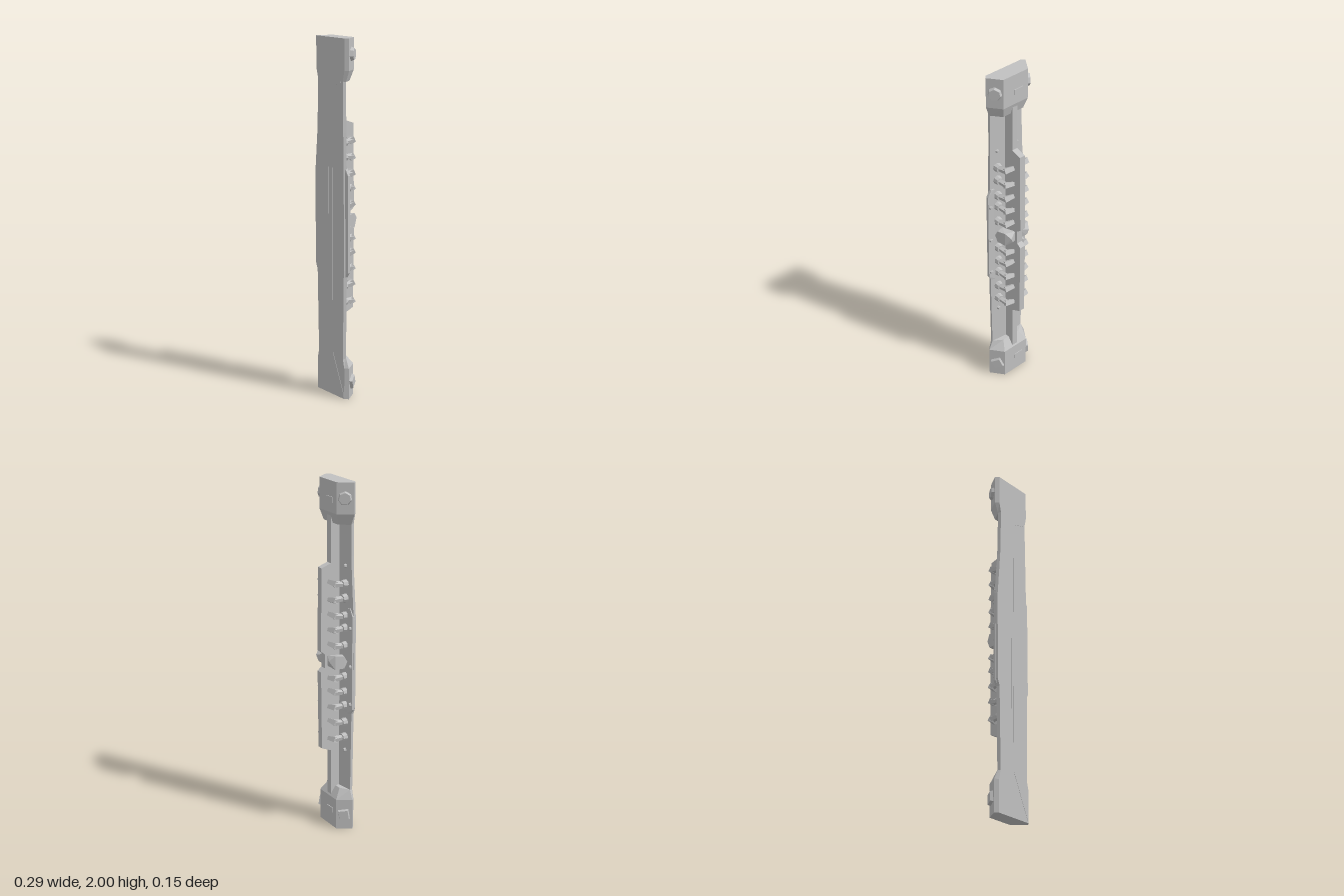
import * as THREE from 'three';
import { ConvexGeometry } from 'three/addons/geometries/ConvexGeometry.js';

const stone = new THREE.MeshStandardMaterial({ color: 0xc0c0c0, flatShading: true });
stone.name = 'stone grey';

function add(parent, name, geometry, x = 0, y = 0, z = 0) {
  const mesh = new THREE.Mesh(geometry, stone);
  mesh.name = name;
  mesh.position.set(x, y, z);
  parent.add(mesh);
  return mesh;
}

// Six-sided cross-sections stacked along y.
// Each level: y, extent to -x, extent to +x, front bevel, half width of back, z of back
function loft(levels) {
  const rings = levels.map(([y, l, r, bevel, half, back]) => [
    [bevel - l, y, 0.075], [r - bevel, y, 0.075], [r, y, 0.057],
    [half, y, back], [-half, y, back], [-l, y, 0.057],
  ]);
  const pos = [];
  const tri = (a, b, c) => pos.push(...a, ...b, ...c);
  for (let i = 0; i < rings.length - 1; i++) {
    for (let j = 0; j < 6; j++) {
      const k = (j + 1) % 6, lo = rings[i], hi = rings[i + 1];
      tri(lo[j], lo[k], hi[k]);
      tri(lo[j], hi[k], hi[j]);
    }
  }
  const bottom = rings[0], top = rings[rings.length - 1];
  for (let j = 1; j < 5; j++) {
    tri(bottom[0], bottom[j + 1], bottom[j]);
    tri(top[0], top[j], top[j + 1]);
  }
  const g = new THREE.BufferGeometry();
  g.setAttribute('position', new THREE.Float32BufferAttribute(pos, 3));
  g.computeVertexNormals();
  return g;
}

// Tapered bar joining two points
function bar(parent, name, from, to, r0, r1, sides) {
  const a = new THREE.Vector3(...from), b = new THREE.Vector3(...to);
  const d = b.clone().sub(a);
  const m = add(parent, name, new THREE.CylinderGeometry(r1, r0, d.length(), sides));
  m.position.copy(a).add(b).multiplyScalar(0.5);
  m.quaternion.setFromUnitVectors(new THREE.Vector3(0, 1, 0), d.normalize());
  return m;
}

export function createModel() {
  const model = new THREE.Group();
  model.name = 'pillar';

  // Thin front slab with a wider waist
  add(model, 'frontSlab', loft([
    [0.2, 0.112, 0.112], [0.7, 0.122, 0.12], [0.74, 0.137, 0.122], [1.25, 0.139, 0.119],
    [1.5, 0.118, 0.115], [1.6, 0.115, 0.113], [1.8, 0.111, 0.111],
  ].map(([y, l, r]) => [y, l, r, 0.005, 0.02, 0.044])));

  // Heavy blocks at both ends
  add(model, 'lowerBlock', loft([
    [0, 0.138, 0.138, 0.018, 0.085, -0.018], [0.18, 0.138, 0.138, 0.018, 0.085, -0.018],
    [0.235, 0.112, 0.112, 0.006, 0.06, 0.02],
  ]));
  add(model, 'upperBlock', loft([
    [1.77, 0.111, 0.111, 0.006, 0.07, 0.0], [1.83, 0.139, 0.137, 0.018, 0.085, -0.018],
    [2, 0.139, 0.137, 0.018, 0.085, -0.018],
  ]));

  // Narrow wall on the back of the slab, carrying a higher notched spine
  const spine = new THREE.Shape([
    [-0.055, 0.1], [0.012, 0.1], [0.012, 0.46], [0.07, 0.485], [0.075, 0.94], [0.05, 0.96],
    [0.05, 1.04], [0.075, 1.06], [0.07, 1.53], [0.012, 1.55], [0.012, 1.9], [-0.055, 1.9],
  ].map(([u, v]) => new THREE.Vector2(u, v)));
  const spineGeo = new THREE.ExtrudeGeometry(spine, { depth: 0.036, bevelEnabled: false });
  spineGeo.translate(0, 0, -0.018).rotateY(Math.PI / 2);
  add(model, 'spine', spineGeo);

  for (const s of [-1, 1]) {
    const flank = new THREE.Group();
    flank.name = s > 0 ? 'leftFlank' : 'rightFlank';
    model.add(flank);

    // Plate along the outer edge of the waist
    const plate = [[0.7, 0.117], [0.73, 0.137], [1.27, 0.137], [1.31, 0.114]].flatMap(([y, x]) => [
      [x, 0.064], [x, 0.05], [0.095, 0.07], [0.095, 0.046],
    ].map(([px, z]) => new THREE.Vector3(s * px, y, z)));
    add(flank, 'edgePlate', new ConvexGeometry(plate));

    // Row of clasps: a knob on the slab, a post, and a claw bent over towards the spine
    [0.55, 0.64, 0.74, 0.82, 0.91, 1.09, 1.19, 1.26, 1.36, 1.44].forEach((y, i) => {
      const lift = i % 2 ? 0.012 : -0.008;
      bar(flank, 'claspKnob', [s * 0.07, y, 0.054], [s * 0.073, y, 0.024], 0.026, 0.021, 8);
      bar(flank, 'claspPost', [s * 0.072, y, 0.03], [s * 0.066, y + lift / 2, -0.022], 0.015, 0.019, 5);
      bar(flank, 'claspClaw', [s * 0.079, y + lift / 2, -0.014], [s * 0.026, y + lift, -0.031], 0.022, 0.015, 4);
    });

    // Large faceted clasp at the middle
    const gem = [
      [0.09, 1.0, 0.05], [0.09, 1.035, 0.03], [0.09, 0.965, 0.03], [0.085, 1.045, -0.025],
      [0.085, 0.965, -0.025], [0.066, 1.015, -0.055], [0.05, 0.985, -0.05],
      [0.015, 1.03, -0.03], [0.015, 0.97, -0.03], [0.04, 1.03, 0.045], [0.04, 0.97, 0.045],
    ].map(([x, y, z]) => new THREE.Vector3(s * x, y, z));
    add(flank, 'middleClasp', new ConvexGeometry(gem));

    // Bosses on both end blocks
    bar(flank, 'upperBoss', [s * 0.1, 1.915, 0.025], [s * 0.123, 1.915, 0.008], 0.044, 0.032, 7);
    const low = bar(flank, 'lowerBoss', [s * 0.1, 0.09, 0.025], [s * 0.123, 0.09, 0.008], 0.047, 0.037, 4);
    low.rotateY(0.3);

    // Small studs on the slab
    for (const [x, y] of [[0.07, 1.54], [0.07, 0.47], [0.122, 1.2], [0.122, 0.98], [0.122, 0.76]]) {
      bar(flank, 'stud', [s * x, y, 0.06], [s * x, y, 0.038], 0.013, 0.009, 6);
    }
  }

  // Thin raised seam on the front face
  const seam = new THREE.Shape([
    [0, 0.25], [0.115, 0.005], [0.118, 0.02], [0.02, 0.25], [0.02, 1.745],
    [0.09, 1.765], [0.09, 1.773], [0, 1.753],
  ].map(([x, y]) => new THREE.Vector2(x, y)));
  add(model, 'frontSeam', new THREE.ExtrudeGeometry(seam, { depth: 0.004, bevelEnabled: false }), 0, 0, 0.0725);
  add(model, 'frontTrim', new THREE.BoxGeometry(0.006, 0.7, 0.003), -0.017, 0.95, 0.075);

  // Small raised tabs on the backs of the end blocks
  for (const y of [0.1, 1.9]) add(model, 'endTab', new THREE.BoxGeometry(0.06, 0.03, 0.008), -0.02, y, -0.018);

  return model;
}
